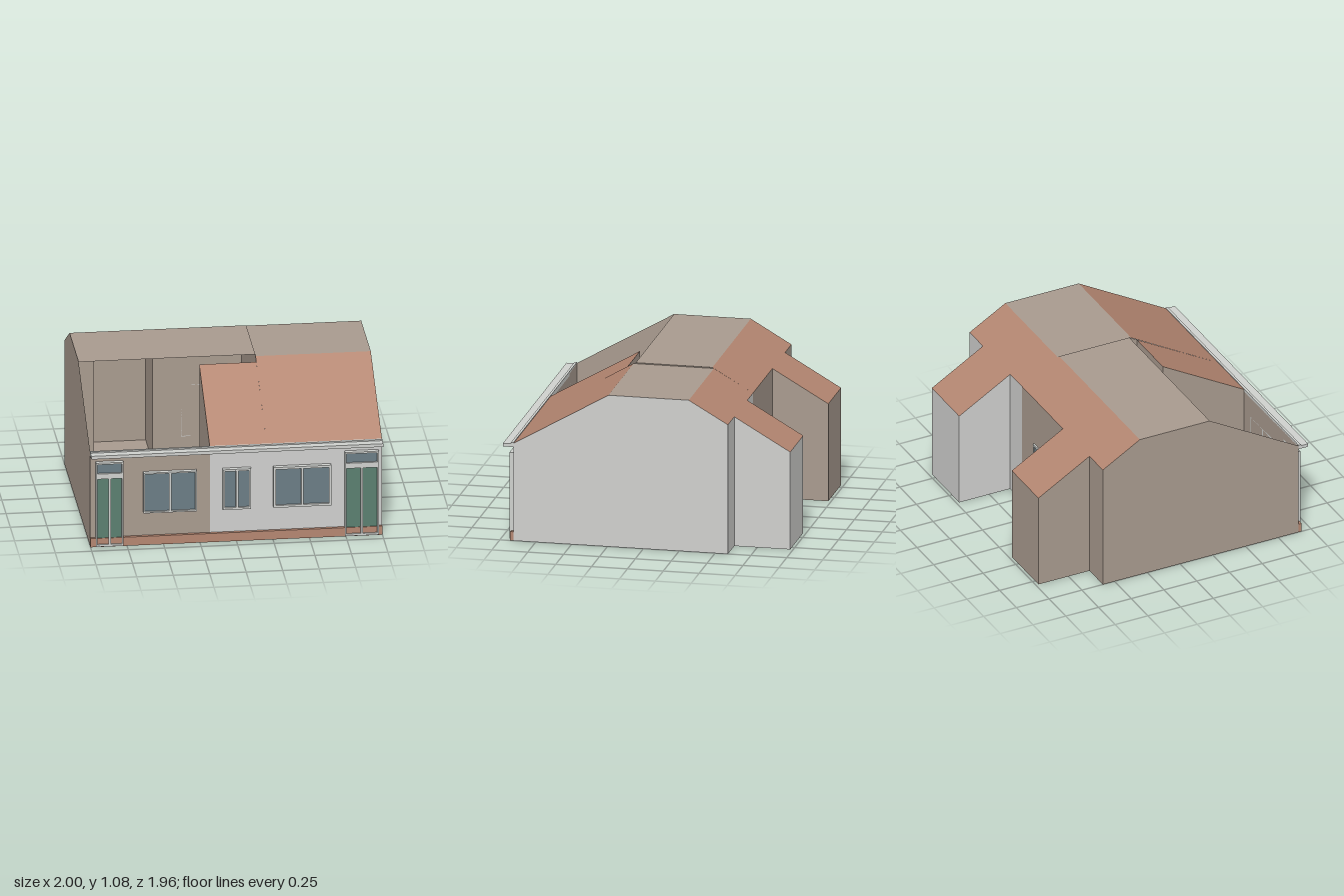
import * as THREE from 'three';

const mat = (name, color, side = THREE.FrontSide) => {
  const m = new THREE.MeshStandardMaterial({ color, side });
  m.name = name;
  return m;
};

export function createModel() {
  const house = new THREE.Group();
  house.name = 'semiDetachedHouse';
  const D = THREE.DoubleSide;
  const grey = mat('pale grey render', 0xd0d0ce, D);
  const taupe = mat('taupe render', 0xa99b8f, D);
  const terracotta = mat('terracotta', 0xb48671, D);
  const trim = mat('trim grey', 0xcfd1ce);
  const glass = mat('blue grey glass', 0x6b7d85, D);
  const green = mat('green door', 0x5a7f70, D);

  const add = (name, geo, m) => {
    const mesh = new THREE.Mesh(geo, m);
    mesh.name = name;
    house.add(mesh);
    return mesh;
  };

  // convex flat face, wound so that it faces the direction "out"
  const face = (name, m, out, pts) => {
    const v = pts.map(p => new THREE.Vector3(...p));
    const n = v[1].clone().sub(v[0]).cross(v[2].clone().sub(v[0]));
    if (n.dot(new THREE.Vector3(...out)) < 0) v.reverse();
    const tris = [];
    for (let i = 1; i < v.length - 1; i++) tris.push(v[0], v[i], v[i + 1]);
    const geo = new THREE.BufferGeometry().setFromPoints(tris);
    geo.computeVertexNormals();
    return add(name, geo, m);
  };

  const box = (name, m, x0, x1, y0, y1, z0, z1) => {
    const mesh = add(name, new THREE.BoxGeometry(x1 - x0, y1 - y0, z1 - z0), m);
    mesh.position.set((x0 + x1) / 2, (y0 + y1) / 2, (z0 + z1) / 2);
    return mesh;
  };

  // main levels and depths
  const F = 0.905, B = -0.59, E = -0.98, EAVE = 0.69;
  const frontY = z => EAVE + (F - z) * 0.575;
  const backY = z => EAVE + (z - E) * 0.5795;
  const SPLIT = -0.18, STEP = 0.21, STEPZ = 0.285;
  const LZ0 = 0.227, LZ1 = -0.307, LY = 1.08;
  const RZ0 = 0.243, RZ1 = -0.317, RY = 1.073;

  // wall across x, or sloped / level panel between two depths
  const wallX = (name, m, x0, x1, z, h, s) =>
    face(name, m, [0, 0, s], [[x0, 0, z], [x1, 0, z], [x1, h, z], [x0, h, z]]);
  const panel = (name, m, x0, x1, z0, y0, z1, y1, up = 1) =>
    face(name, m, [0, up, 0], [[x0, y0, z0], [x1, y0, z0], [x1, y1, z1], [x0, y1, z1]]);
  const wallZ = (name, m, x, s, profile) =>
    face(name, m, [s, 0, 0], profile.map(([z, y]) => [x, y, z]));

  // front walls
  wallX('frontWallRight', taupe, -1, SPLIT, F, EAVE, 1);
  wallX('frontWallLeft', grey, SPLIT, 1, F, EAVE, 1);

  // gables
  wallZ('gableRight', taupe, -1, -1,
    [[F, 0], [F, EAVE], [LZ0, LY], [LZ1, LY], [B, backY(B)], [B, 0]]);
  wallZ('gableLeft', grey, 1, 1,
    [[F, 0], [F, EAVE], [RZ0, RY], [RZ1, RY], [B, backY(B)], [B, 0]]);

  // stepped party wall between the two homes
  wallZ('partyWallFront', taupe, SPLIT, -1,
    [[F, 0], [F, EAVE], [STEPZ, frontY(STEPZ)], [STEPZ, 0]]);
  wallX('partyWallStep', taupe, SPLIT, STEP, STEPZ, frontY(STEPZ), 1);
  wallZ('partyWallBack', taupe, STEP, -1,
    [[STEPZ, 0], [STEPZ, frontY(STEPZ)], [LZ0, LY], [LZ1, LY], [B, backY(B)], [B, 0]]);

  // back walls either side of the wings
  for (const [x0, x1, m] of [[-1, -0.8, taupe], [-0.4, STEP, taupe], [STEP, 0.39, grey], [0.8, 1, grey]])
    wallX('backWall', m, x0, x1, B, backY(B), -1);

  // rear wings, open to the rooms
  for (const [x0, x1, m] of [[-0.8, -0.4, taupe], [0.39, 0.8, grey]]) {
    const side = [[B, 0], [B, backY(B)], [E, EAVE], [E, 0]];
    wallX('wingBackWall', m, x0, x1, E, EAVE, -1);
    wallZ('wingSideWall', m, x0, -1, side);
    wallZ('wingSideWall', m, x1, 1, side);
    panel('wingRoof', terracotta, x0, x1, B, backY(B), E, EAVE);
    panel('wingFloor', m, x0, x1, B, 0, E, 0, -1);
  }

  // floors
  panel('floorRight', taupe, -1, SPLIT, F, 0, STEPZ, 0, -1);
  panel('floorRight', taupe, -1, STEP, STEPZ, 0, B, 0, -1);
  panel('floorLeft', grey, SPLIT, 1, F, 0, STEPZ, 0, -1);
  panel('floorLeft', grey, STEP, 1, STEPZ, 0, B, 0, -1);

  // roof: flat tops, back slopes, and front slope over one home only
  panel('flatRoofRight', taupe, -1, STEP, LZ0, LY, LZ1, LY);
  panel('flatRoofLeft', taupe, STEP, 1, RZ0, RY, RZ1, RY);
  panel('backSlopeRight', terracotta, -1, STEP, LZ1, LY, B, backY(B));
  panel('backSlopeLeft', terracotta, STEP, 1, RZ1, RY, B, backY(B));
  panel('frontSlope', terracotta, SPLIT, STEP, F, EAVE, STEPZ, frontY(STEPZ));
  panel('frontSlope', terracotta, STEP, 1, F, EAVE, RZ0, RY);

  // plinth and eaves cornice
  box('plinth', terracotta, -1, 1, 0, 0.063, F, 0.928);
  box('cornice', trim, -1, 1, 0.664, 0.687, F, 0.978);
  box('corniceLip', trim, -1, 1, 0.687, 0.696, F, 0.922);

  // frame with openings, each filled by a recessed pane: [x0, x1, y0, y1, material]
  const framed = (name, x0, x1, y0, y1, panes, z = F, depth = 0.033, back = false) => {
    const rect = (T, a, b, c, d) => {
      const s = new T();
      s.moveTo(a, c); s.lineTo(b, c); s.lineTo(b, d); s.lineTo(a, d); s.closePath();
      return s;
    };
    const shape = rect(THREE.Shape, x0, x1, y0, y1);
    for (const [a, b, c, d] of panes) shape.holes.push(rect(THREE.Path, a, b, c, d));
    const frame = add(name + 'Frame', new THREE.ExtrudeGeometry(shape, { depth, bevelEnabled: false }), trim);
    frame.position.z = back ? z - depth : z;
    const pz = back ? z - depth * 0.5 : z + depth * 0.5;
    for (const [a, b, c, d, m] of panes)
      face(name + 'Pane', m, [0, 0, back ? -1 : 1], [[a, c, pz], [b, c, pz], [b, d, pz], [a, d, pz]]);
  };

  // front windows, two panes each
  for (const [x0, x1, e] of [[-0.637, -0.273, 0.01], [-0.094, 0.1, 0.014], [0.254, 0.649, 0.016]]) {
    const c = (x0 + x1) / 2;
    framed('window', x0, x1, 0.235, 0.53, [
      [x0 + e, c - 0.008, 0.235 + e, 0.53 - e, glass],
      [c + 0.008, x1 - e, 0.235 + e, 0.53 - e, glass]]);
  }

  // double front doors with a transom light
  for (const [x0, x1] of [[-0.963, -0.775], [0.743, 0.975]]) {
    const c = (x0 + x1) / 2, e = 0.011;
    framed('door', x0, x1, 0.005, 0.618, [
      [x0 + e, c - 0.008, 0.02, 0.5, green],
      [c + 0.008, x1 - e, 0.02, 0.5, green],
      [x0 + e, x1 - e, 0.538, 0.606, glass]]);
  }

  // back window
  framed('backWindow', -0.21, 0.03, 0.16, 0.56, [[-0.195, 0.015, 0.175, 0.545, glass]], B, 0.01, true);

  return house;
}
